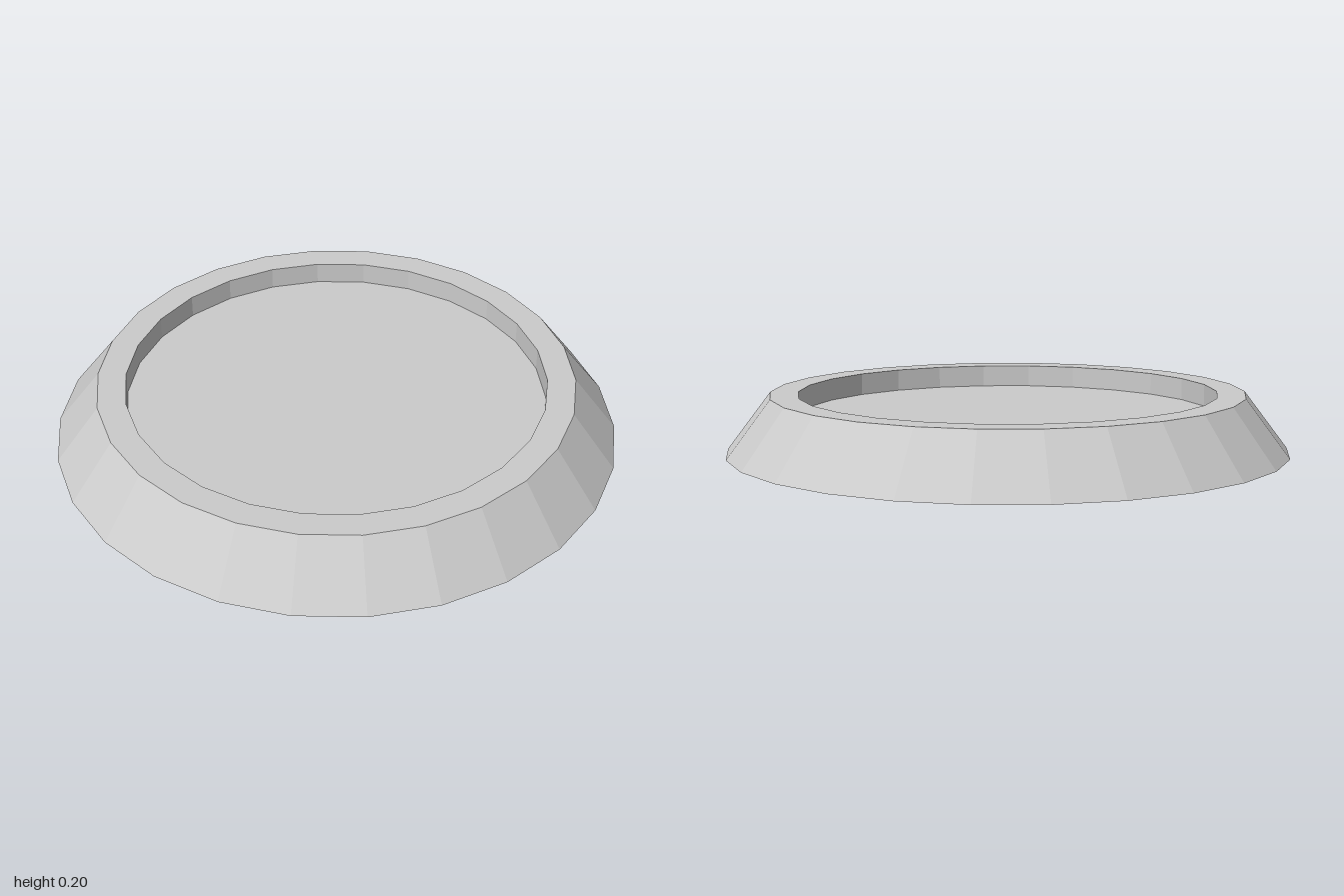
import * as THREE from 'three';

const SIDES = 26;
const HEIGHT = 0.205;
const FLOOR = 0.125;
const BASE_RADIUS = 1;
const RIM_RADIUS = 0.845;
const RECESS_RADIUS = 0.745;

export function createModel() {
  const group = new THREE.Group();
  group.name = 'recessedRoundBase';
  const material = new THREE.MeshStandardMaterial({ color: 0xcccccc, flatShading: true });

  // Each part is a faceted ring or disc turned from a [radius, height] profile
  const addTurned = (name, profile) => {
    const points = profile.map(([r, y]) => new THREE.Vector2(r, y));
    const mesh = new THREE.Mesh(new THREE.LatheGeometry(points, SIDES), material);
    mesh.name = name;
    group.add(mesh);
  };

  // Closed underside and sloping outer wall
  addTurned('underside', [[0, 0], [BASE_RADIUS, 0]]);
  addTurned('slopedWall', [[BASE_RADIUS, 0], [RIM_RADIUS, HEIGHT]]);

  // Flat rim, then the recess stepping down to its floor
  addTurned('rim', [[RIM_RADIUS, HEIGHT], [RECESS_RADIUS, HEIGHT]]);
  addTurned('recessWall', [[RECESS_RADIUS, HEIGHT], [RECESS_RADIUS, FLOOR]]);
  addTurned('recessFloor', [[RECESS_RADIUS, FLOOR], [0, FLOOR]]);

  return group;
}
